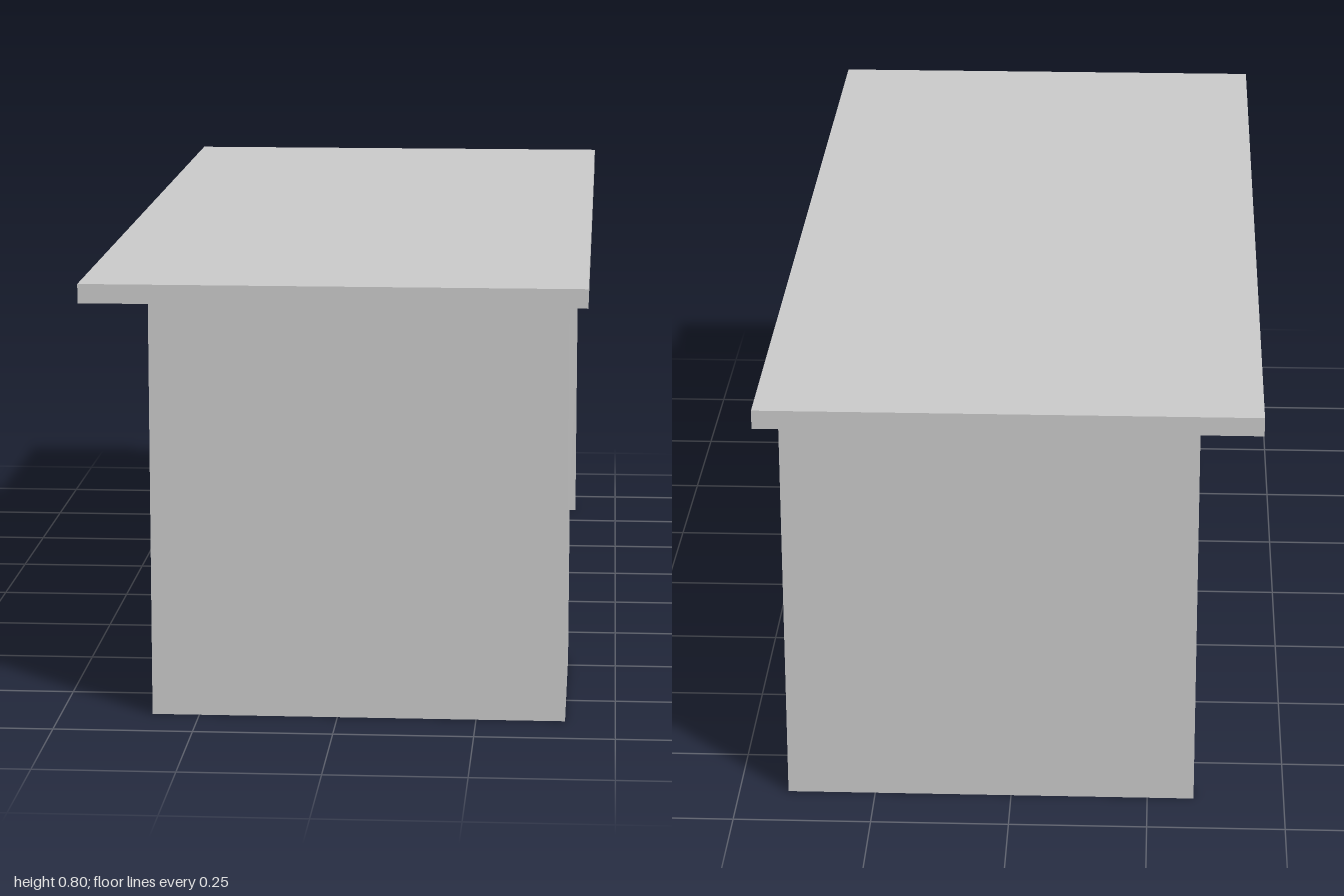
import * as THREE from 'three';

export function createModel() {
  const desk = new THREE.Group();
  desk.name = 'desk';
  const material = new THREE.MeshStandardMaterial({ color: 0xcccccc, flatShading: true });

  // Box given by its extents along each axis
  const board = (name, [x0, x1], [y0, y1], [z0, z1]) => {
    const mesh = new THREE.Mesh(new THREE.BoxGeometry(x1 - x0, y1 - y0, z1 - z0), material);
    mesh.position.set((x0 + x1) / 2, (y0 + y1) / 2, (z0 + z1) / 2);
    mesh.name = name;
    desk.add(mesh);
  };

  const thick = 0.034;
  const top = 0.803, under = top - thick;
  const inner = -0.335, outer = 0.41; // supports sit off-centre under the top
  const end = 0.89, cabinetBack = 0.447;

  board('deskTop', [-0.444, 0.444], [under, top], [-1, 1]);
  board('drawerCabinet', [inner, outer], [0, under], [cabinetBack, end]);
  board('endPanelLeg', [inner, outer], [0, under], [-end, -end + thick]);
  // Modesty panel joining the cabinet and the leg along the outer side
  board('modestyPanel', [outer - thick, outer], [0.33, under], [-end + thick, cabinetBack]);

  return desk;
}
